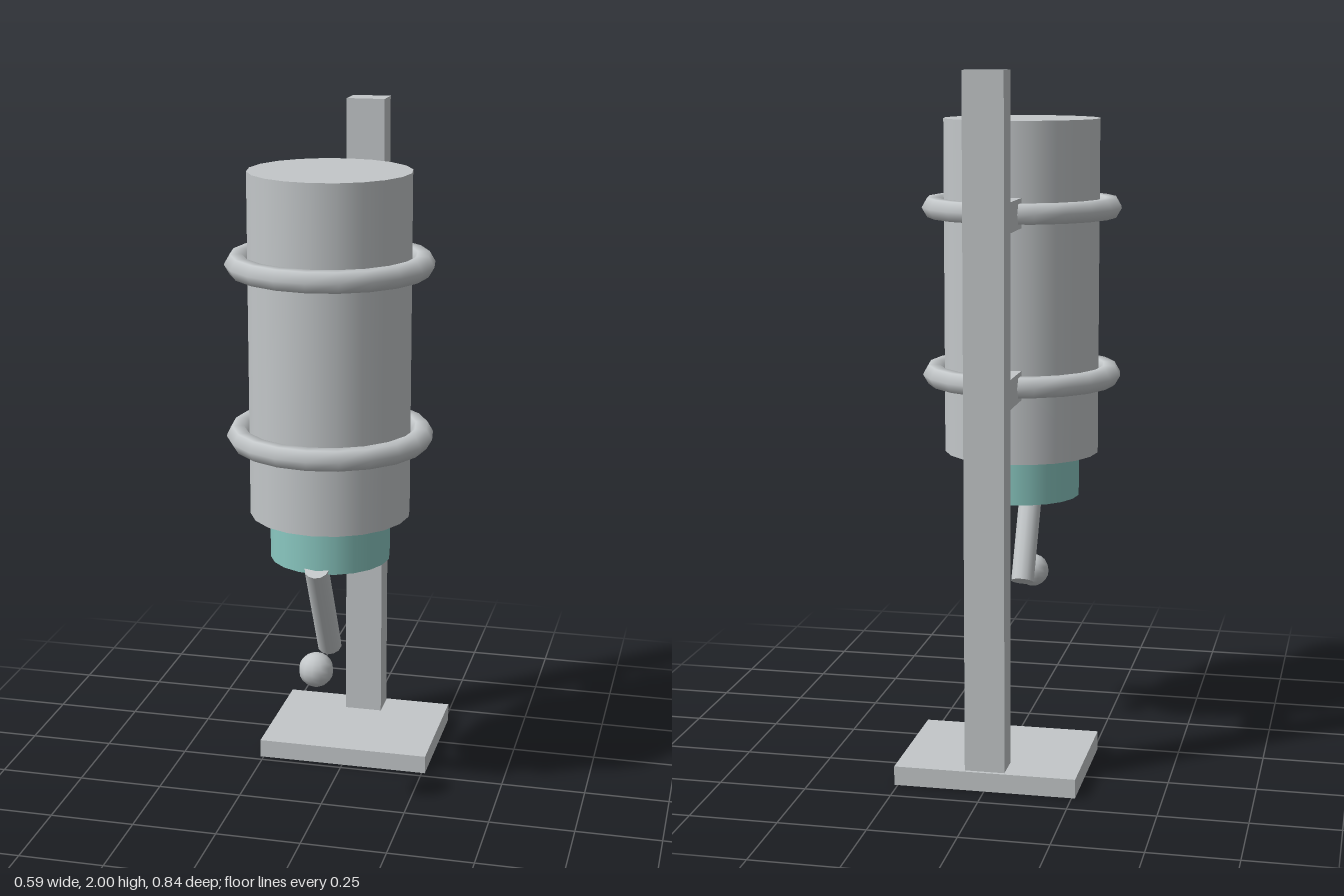
import * as THREE from 'three';

export function createModel() {
  const group = new THREE.Group();
  const steel = new THREE.MeshStandardMaterial({ color: 0xc3c7c9 });
  steel.name = 'steel grey';
  const teal = new THREE.MeshStandardMaterial({ color: 0x8ac8c1 });
  teal.name = 'teal';

  const add = (name, geometry, material, x, y, z) => {
    const mesh = new THREE.Mesh(geometry, material);
    mesh.name = name;
    mesh.position.set(x, y, z);
    group.add(mesh);
    return mesh;
  };
  const axisZ = 0.127; // vertical axis of the tank

  // Stand
  add('base', new THREE.BoxGeometry(0.52, 0.055, 0.4), steel, 0, 0.0275, -0.22);
  add('post', new THREE.BoxGeometry(0.114, 1.945, 0.087), steel, 0, 1.0275, -0.3665);

  // Tank and its cap
  add('tank', new THREE.CylinderGeometry(0.23, 0.23, 0.983, 20), steel, 0, 1.3645, axisZ);
  add('cap', new THREE.CylinderGeometry(0.173, 0.173, 0.133, 20), teal, 0, 0.8065, axisZ);

  // Holding rings, each with an arm to the post
  for (const [side, y] of [['upper', 1.599], ['lower', 1.106]]) {
    const ring = add(side + 'Ring', new THREE.TorusGeometry(0.262, 0.033, 6, 20), steel, 0, y, axisZ);
    ring.rotation.x = Math.PI / 2;
    add(side + 'Arm', new THREE.BoxGeometry(0.086, 0.085, 0.253), steel, 0, y, -0.1965);
  }

  // Slanted drinking tube and loose ball
  const top = new THREE.Vector3(0, 0.753, 0.294);
  const bottom = new THREE.Vector3(0, 0.46, 0.137);
  const axis = top.clone().sub(bottom);
  const tube = add('drinkingTube', new THREE.CylinderGeometry(0.035, 0.035, axis.length(), 12), steel,
    0, (top.y + bottom.y) / 2, (top.z + bottom.z) / 2);
  tube.quaternion.setFromUnitVectors(new THREE.Vector3(0, 1, 0), axis.normalize());
  add('ball', new THREE.SphereGeometry(0.05, 12, 10), steel, 0, 0.452, 0.304);

  return group;
}
